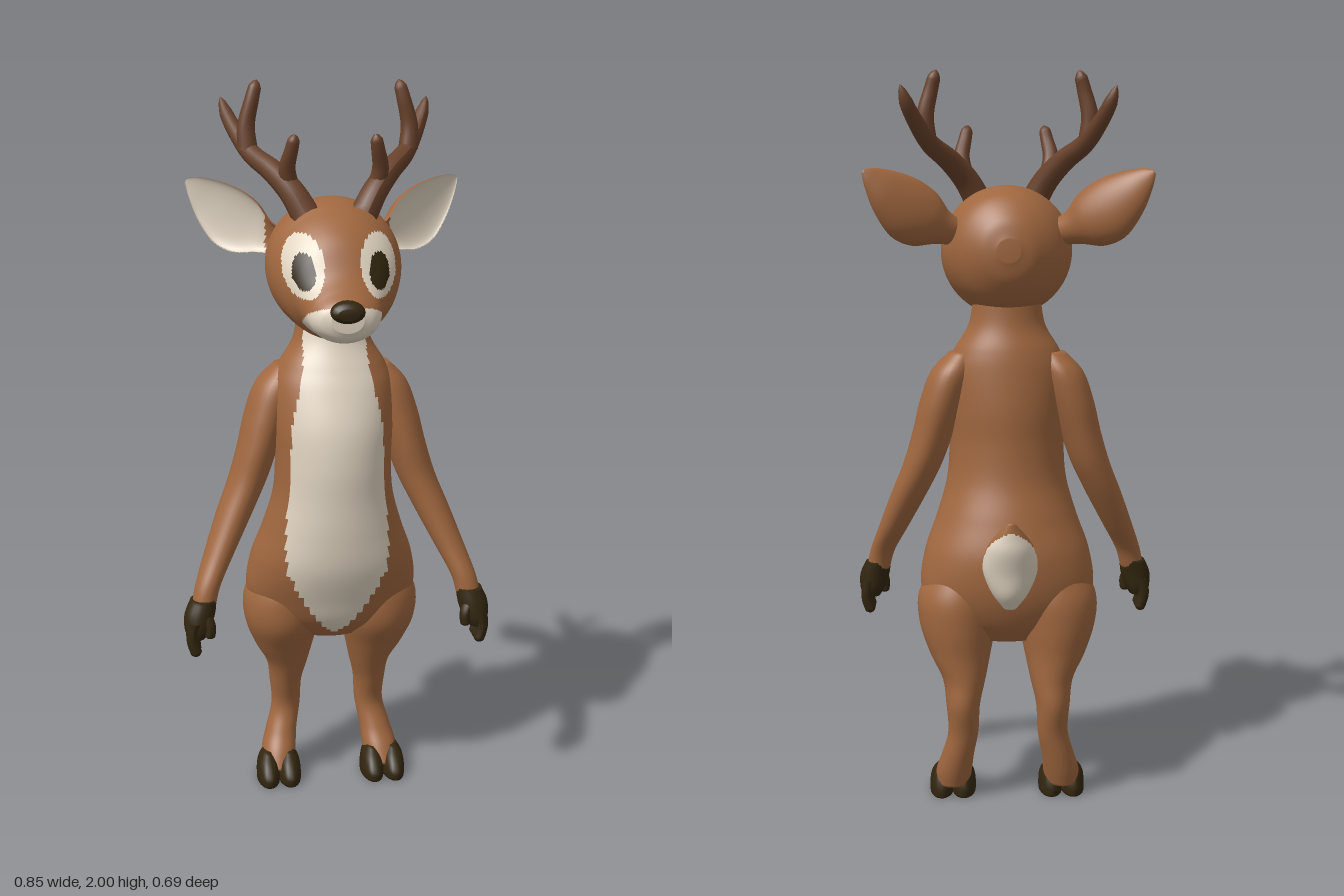
import * as THREE from 'three';

const V = (x, y, z) => new THREE.Vector3(x, y, z);
const X = V(1, 0, 0), Y = V(0, 1, 0), Z = V(0, 0, 1);

const material = (name, color) => {
  const m = new THREE.MeshStandardMaterial({ color });
  m.name = name;
  return m;
};
const fur = material('brown fur', 0xa0673f);
const cream = material('cream fur', 0xe3d6c3);
const dark = material('dark hoof', 0x32260f);
const horn = material('antler brown', 0x68412a);
const palette = [fur, cream, dark, horn];
const [FUR, CREAM, DARK] = [0, 1, 2];

// Closed smooth skin through rows [x, y, z, radiusU, radiusV]; paint picks a colour per face.
function loft(name, rows, { u = X, v = Z, steps = 40, segs = 32, front = 1, paint = () => FUR } = {}) {
  const n = rows.length - 1;
  const dir = V(...rows[n].slice(0, 3)).sub(V(...rows[0].slice(0, 3)));
  if (dir.dot(u.clone().cross(v)) < 0) rows = [...rows].reverse();
  const path = new THREE.CatmullRomCurve3(rows.map(r => V(r[0], r[1], r[2])), false, 'catmullrom');
  const size = new THREE.CatmullRomCurve3(rows.map(r => V(r[3], r[4], 0)), false, 'catmullrom');
  const points = [];
  for (let i = -1; i <= steps + 1; i++) {
    const t = THREE.MathUtils.clamp(i / steps, 0, 1);
    const c = path.getPoint(t), r = size.getPoint(t);
    if (i < 0 || i > steps) r.set(0, 0, 0);
    for (let j = 0; j < segs; j++) {
      const a = (j / segs) * Math.PI * 2;
      const s = Math.sin(a) * (Math.sin(a) > 0 ? front : 1);
      points.push(c.clone().addScaledVector(u, r.x * Math.cos(a)).addScaledVector(v, r.y * s));
    }
  }
  const faces = palette.map(() => []);
  for (let i = 0; i < steps + 2; i++) {
    for (let j = 0; j < segs; j++) {
      const k = (j + 1) % segs;
      const [a, b, c, d] = [i * segs + j, i * segs + k, (i + 1) * segs + j, (i + 1) * segs + k];
      const mid = V(0, 0, 0);
      [a, b, c, d].forEach(q => mid.addScaledVector(points[q], 0.25));
      faces[paint(mid, ((j + 0.5) / segs) * Math.PI * 2)].push(a, b, c, b, d, c);
    }
  }
  const geo = new THREE.BufferGeometry().setFromPoints(points);
  geo.setIndex(faces.flat());
  let start = 0;
  faces.forEach((f, m) => {
    if (f.length) geo.addGroup(start, f.length, m);
    start += f.length;
  });
  geo.computeVertexNormals();
  const mesh = new THREE.Mesh(geo, palette);
  mesh.name = name;
  return mesh;
}

// Tube narrowing from r0 to r1 with a rounded tip.
function taperedTube(name, pts, r0, r1, mat) {
  const curve = new THREE.CatmullRomCurve3(pts);
  const geo = new THREE.TubeGeometry(curve, 28, 1, 12);
  const pos = geo.attributes.position;
  for (let i = 0; i < pos.count; i++) {
    const t = Math.floor(i / 13) / 28;
    const c = curve.getPointAt(t);
    const r = (r0 + (r1 - r0) * t) * Math.sqrt(Math.min(1, (1 - t) * 9));
    const p = V(0, 0, 0).fromBufferAttribute(pos, i).sub(c).multiplyScalar(r).add(c);
    pos.setXYZ(i, p.x, p.y, p.z);
  }
  geo.computeVertexNormals();
  const mesh = new THREE.Mesh(geo, mat);
  mesh.name = name;
  return mesh;
}

// Half width of the cream chest patch at each height
const bib = [[0.48, 0], [0.52, 0.04], [0.6, 0.09], [0.7, 0.14], [0.8, 0.142], [1.0, 0.125],
  [1.1, 0.125], [1.25, 0.09], [1.4, 0.08]];
function bibPaint(p) {
  if (p.z < 0.03) return FUR;
  const i = bib.findIndex(b => b[0] > p.y);
  if (i < 1) return FUR;
  const [y0, w0] = bib[i - 1], [y1, w1] = bib[i];
  return Math.abs(p.x) < w0 + (w1 - w0) * (p.y - y0) / (y1 - y0) ? CREAM : FUR;
}

// Eye rings, pupils and muzzle
function facePaint(p) {
  const oval = (y, rx, ry) => ((Math.abs(p.x) - 0.097) / rx) ** 2 + ((p.y - y) / ry) ** 2 < 1;
  if (p.z > 0.08 && oval(1.535, 0.029, 0.045)) return DARK;
  if (p.z > 0.08 && oval(1.548, 0.051, 0.078)) return CREAM;
  return p.z > 0.195 && p.y < 1.405 + (p.z - 0.195) * 0.45 ? CREAM : FUR;
}

export function createModel() {
  const model = new THREE.Group();
  model.name = 'deer';

  model.add(loft('torso', [
    [0, 1.42, 0, 0.09, 0.085], [0, 1.33, 0.005, 0.105, 0.095], [0, 1.26, 0.01, 0.145, 0.118],
    [0, 1.2, 0.018, 0.165, 0.135], [0, 1.1, 0.03, 0.165, 0.155], [0, 1, 0.035, 0.16, 0.16],
    [0, 0.9, 0.028, 0.167, 0.163], [0, 0.8, 0.01, 0.195, 0.175], [0, 0.7, -0.01, 0.23, 0.18],
    [0, 0.6, -0.026, 0.24, 0.158], [0, 0.52, -0.03, 0.2, 0.125], [0, 0.46, -0.04, 0.1, 0.07],
  ], { steps: 100, segs: 96, paint: bibPaint }));

  model.add(loft('head', [
    [0, 1.53, -0.168, 0.03, 0.03], [0, 1.53, -0.15, 0.08, 0.085], [0, 1.53, -0.1, 0.138, 0.143],
    [0, 1.53, -0.03, 0.172, 0.17], [0, 1.525, 0.05, 0.18, 0.177], [0, 1.51, 0.11, 0.168, 0.165],
    [0, 1.495, 0.16, 0.15, 0.148], [0, 1.48, 0.2, 0.125, 0.123], [0, 1.447, 0.24, 0.102, 0.088],
    [0, 1.43, 0.28, 0.09, 0.067], [0, 1.425, 0.31, 0.07, 0.05], [0, 1.427, 0.325, 0.04, 0.03],
  ], { v: Y, steps: 130, segs: 120, paint: facePaint }));

  model.add(loft('nose', [
    [0, 1.455, 0.295, 0.03, 0.02], [0, 1.45, 0.31, 0.043, 0.028],
    [0, 1.448, 0.33, 0.042, 0.026], [0, 1.446, 0.344, 0.026, 0.014],
  ], { v: Y, steps: 14, segs: 20, paint: () => DARK }));

  // Upturned tail, cream underneath
  model.add(loft('tail', [
    [0, 0.597, -0.255, 0.018, 0.025], [0, 0.64, -0.252, 0.05, 0.06], [0, 0.7, -0.256, 0.072, 0.07],
    [0, 0.76, -0.283, 0.064, 0.06], [0, 0.8, -0.307, 0.042, 0.036], [0, 0.84, -0.332, 0.01, 0.008],
  ], { segs: 40, paint: p => (p.y < 0.66 - (p.z + 0.2) * 1.08 ? CREAM : FUR) }));

  for (const s of [1, -1]) {
    const side = s > 0 ? 'left' : 'right';
    const at = rows => rows.map(([x, ...rest]) => [x * s, ...rest]);
    const pts = list => list.map(([x, y, z]) => V(x * s, y, z));
    const add = (part, rows, options) => model.add(loft(side + part, at(rows), options));

    add('Leg', [
      [0.12, 0.66, -0.03, 0.09, 0.11], [0.135, 0.58, -0.035, 0.113, 0.13],
      [0.138, 0.5, -0.04, 0.107, 0.127], [0.132, 0.42, -0.06, 0.085, 0.1],
      [0.122, 0.35, -0.08, 0.06, 0.08], [0.125, 0.28, -0.098, 0.047, 0.066],
      [0.125, 0.2, -0.1, 0.042, 0.045], [0.14, 0.13, -0.082, 0.045, 0.05],
      [0.15, 0.08, -0.06, 0.05, 0.06], [0.155, 0.035, -0.04, 0.05, 0.065],
    ], { steps: 60, segs: 48, paint: bibPaint });

    // Cloven hoof
    for (const x of [0.124, 0.186]) {
      add('HoofToe', [
        [x, 0, -0.017, 0.034, 0.08], [x, 0.025, -0.017, 0.034, 0.08],
        [x, 0.055, -0.025, 0.029, 0.06], [x, 0.08, -0.035, 0.014, 0.03],
      ], { steps: 14, segs: 20, paint: () => DARK });
    }

    add('Arm', [
      [0.12, 1.255, -0.01, 0.04, 0.05], [0.15, 1.2, -0.01, 0.06, 0.078],
      [0.178, 1.12, -0.005, 0.062, 0.085], [0.205, 1.03, 0.005, 0.057, 0.082],
      [0.235, 0.94, 0.015, 0.054, 0.074], [0.275, 0.85, 0.04, 0.05, 0.065],
      [0.32, 0.75, 0.08, 0.042, 0.052], [0.355, 0.67, 0.12, 0.035, 0.039],
      [0.37, 0.61, 0.135, 0.033, 0.034],
    ], { steps: 50 });
    add('Palm', [
      [0.369, 0.635, 0.132, 0.036, 0.038], [0.38, 0.595, 0.14, 0.042, 0.041],
      [0.387, 0.555, 0.144, 0.036, 0.042], [0.39, 0.53, 0.146, 0.025, 0.035],
    ], { steps: 16, segs: 20, paint: () => DARK });
    for (const z of [0.118, 0.146, 0.172]) {
      model.add(taperedTube(side + 'Finger',
        pts([[0.395, 0.58, z], [0.402, 0.53, z], [0.39, 0.482, z + 0.003]]), 0.019, 0.015, dark));
    }
    model.add(taperedTube(side + 'Thumb',
      pts([[0.37, 0.6, 0.155], [0.354, 0.565, 0.168], [0.356, 0.53, 0.17]]), 0.018, 0.014, dark));

    // Cupped ear facing forward and outward
    const n = V(0.45 * s, -0.1, 0.8).normalize();
    const w = V(-0.39 * s, 0.86, 0.33).normalize();
    add('Ear', [
      [0.13, 1.575, -0.04, 0.035, 0.035], [0.18, 1.59, -0.065, 0.05, 0.045],
      [0.225, 1.612, -0.09, 0.08, 0.055], [0.275, 1.642, -0.118, 0.086, 0.052],
      [0.325, 1.683, -0.148, 0.062, 0.036], [0.36, 1.717, -0.168, 0.03, 0.016],
      [0.377, 1.733, -0.178, 0.006, 0.004],
    ], { u: w, v: n, segs: 40, front: -0.45,
      paint: (p, a) => (a < Math.PI && Math.abs(p.x) > 0.17 ? CREAM : FUR) });

    // Antler with three points
    const antler = new THREE.Group();
    antler.name = side + 'Antler';
    antler.add(
      taperedTube('beam', pts([[0.075, 1.66, 0.075], [0.11, 1.72, 0.05], [0.155, 1.77, 0.01],
        [0.205, 1.81, -0.045], [0.24, 1.86, -0.095], [0.265, 1.91, -0.13], [0.28, 1.955, -0.145]]),
      0.038, 0.016, horn),
      taperedTube('upperPoint', pts([[0.215, 1.82, -0.055], [0.218, 1.88, -0.06],
        [0.202, 1.95, -0.06], [0.188, 2, -0.066]]), 0.027, 0.016, horn),
      taperedTube('browPoint', pts([[0.115, 1.73, 0.04], [0.122, 1.78, 0.055],
        [0.112, 1.83, 0.075], [0.104, 1.868, 0.085]]), 0.026, 0.015, horn));
    model.add(antler);
  }
  return model;
}
